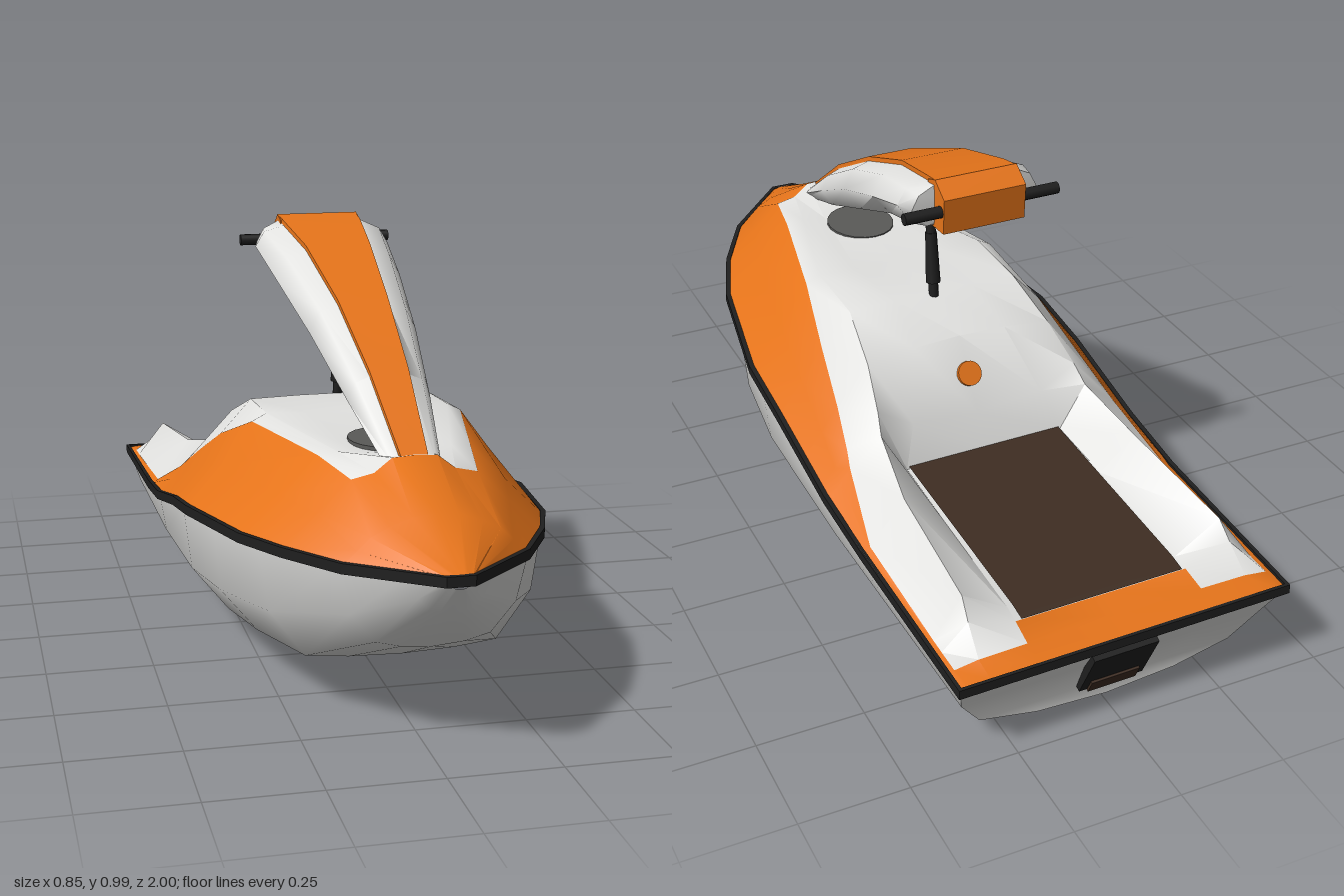
import * as THREE from 'three';
import { toCreasedNormals } from 'three/addons/utils/BufferGeometryUtils.js';

const mat = (name, color) => Object.assign(new THREE.MeshStandardMaterial({ color }), { name });
const orange = mat('orange', 0xe6741a);
const white = mat('white', 0xe2e2e0);
const red = mat('red', 0xb0211a);
const black = mat('black', 0x1f1f1f);
const brown = mat('brown', 0x3e2d22);
const grey = mat('grey', 0x5a5a58);

// Skin between rows of [x, y, z] points; pick(i, j) chooses the material index of a patch
function loft(name, rows, materials, pick = () => 0, crease = 0.7) {
  const n = rows[0].length;
  const lists = materials.map(() => []);
  for (let i = 0; i < rows.length - 1; i++) {
    for (let j = 0; j < n - 1; j++) {
      const a = i * n + j, b = a + 1, c = a + n, d = c + 1;
      lists[pick(i, j)].push(a, b, c, b, d, c);
    }
  }
  const geo = new THREE.BufferGeometry();
  geo.setAttribute('position', new THREE.Float32BufferAttribute(rows.flat(2), 3));
  geo.setIndex(lists.flat());
  let start = 0;
  lists.forEach((l, k) => { geo.addGroup(start, l.length, k); start += l.length; });
  const mesh = new THREE.Mesh(toCreasedNormals(geo, crease), materials);
  mesh.name = name;
  return mesh;
}

const flip = ([x, y, z]) => [-x, y, z];

function part(name, geo, material, x, y, z, rx = 0) {
  const mesh = new THREE.Mesh(geo, material);
  mesh.name = name;
  mesh.position.set(x, y, z);
  mesh.rotation.x = rx;
  return mesh;
}

// Rail line where hull and deck meet, bow to stern
const RAIL = [
  [0.03, 0.42, 0.99], [0.2, 0.408, 0.82], [0.29, 0.4, 0.66], [0.35, 0.388, 0.5], [0.41, 0.36, 0.17],
  [0.412, 0.33, -0.02], [0.41, 0.266, -0.3], [0.406, 0.24, -0.5], [0.402, 0.216, -0.99],
];

function railAt(z) {
  const i = Math.max(1, RAIL.findIndex((p) => p[2] <= z));
  const a = RAIL[i - 1], b = RAIL[i];
  const t = (a[2] - z) / (a[2] - b[2]);
  return [a[0] + (b[0] - a[0]) * t, a[1] + (b[1] - a[1]) * t, z];
}

// Deck stations: z, then x,y of colour edge, shoulder, inner edge, then centre y
const DECK = [
  [0.99, 0.025, 0.424, 0.015, 0.426, 0.008, 0.427, 0.427],
  [0.82, 0.14, 0.465, 0.1, 0.485, 0.05, 0.502, 0.508],
  [0.66, 0.14, 0.545, 0.09, 0.556, 0.05, 0.587, 0.59],
  [0.5, 0.175, 0.56, 0.13, 0.565, 0.07, 0.56, 0.56],
  [0.17, 0.255, 0.562, 0.22, 0.58, 0.12, 0.575, 0.575],
  [-0.02, 0.295, 0.49, 0.22, 0.572, 0.1, 0.575, 0.575],
  [-0.17, 0.32, 0.415, 0.24, 0.51, 0.12, 0.525, 0.53],
  [-0.27, 0.34, 0.36, 0.26, 0.44, 0.17, 0.385, 0.37],
  [-0.31, 0.35, 0.335, 0.27, 0.4, 0.205, 0.29, 0.29],
  [-0.5, 0.385, 0.25, 0.3, 0.355, 0.208, 0.277, 0.277],
  [-0.83, 0.386, 0.228, 0.32, 0.325, 0.21, 0.255, 0.255],
  [-0.87, 0.386, 0.226, 0.325, 0.285, 0.212, 0.248, 0.248],
  [-0.93, 0.386, 0.224, 0.33, 0.232, 0.215, 0.234, 0.234],
  [-0.99, 0.38, 0.22, 0.33, 0.222, 0.215, 0.222, 0.222],
];

function buildDeck() {
  const rows = DECK.map(([z, ex, ey, sx, sy, ix, iy, cy]) => {
    const rail = railAt(z);
    const flank = [rail[0] * 0.49 + ex * 0.5, (rail[1] + ey) * 0.503, z];
    const half = [rail, flank, [ex, ey, z], [sx, sy, z], [ix, iy, z]];
    return [...half.map(flip), [0, cy, z], ...half.reverse()];
  });
  const isWhite = (i, j) => i >= 2 && i < 12 && j >= 2 && j <= 7 && !(i === 11 && (j === 4 || j === 5));
  return loft('deck', rows, [orange, white], (i, j) => (isWhite(i, j) ? 1 : 0));
}

// Hull stations: z, then x,y of side, x,y of chine, keel y, and rake of the lower points
const HULL = [
  [0.99, 0.02, 0.41, 0.012, 0.402, 0.4],
  [0.93, 0.07, 0.365, 0.045, 0.34, 0.33],
  [0.81, 0.18, 0.3, 0.125, 0.235, 0.215],
  [0.57, 0.3, 0.235, 0.22, 0.125, 0.11],
  [0.33, 0.365, 0.21, 0.28, 0.105, 0.06],
  [0.1, 0.392, 0.19, 0.305, 0.08, 0.037],
  [-0.3, 0.393, 0.165, 0.31, 0.065, 0.025],
  [-0.99, 0.375, 0.13, 0.315, 0.045, 0.004, 0.08],
];

function buildHull(group) {
  const halves = HULL.map(([z, sx, sy, cx, cy, ky, rake = 0]) => [
    railAt(z), [sx, sy, z + rake * 0.6], [cx, cy, z + rake],
    [cx * 0.55, ky + (cy - ky) * 0.28, z + rake], [0, ky, z + rake],
  ]);
  const rows = halves.map((s) => [...s, ...s.slice(0, 4).reverse().map(flip)]);
  group.add(loft('hull', rows, [white, red], (i, j) => (i >= 3 && j >= 2 && j <= 5 ? 1 : 0), 1));

  // Sloping stern face
  const [rail, side, chine, belly, keel] = halves[halves.length - 1];
  const across = ([x, y, z]) => [-1, -0.55, 0, 0.55, 1].map((t) => [x * t, y, z]);
  const lower = [flip(chine), flip(belly), keel, belly, chine];
  group.add(loft('transom', [across(rail), across(side), across(chine), lower], [white]));
}

// Thin rubber bumper running round the joint of hull and deck
function buildBumper() {
  const side = RAIL.slice().reverse();
  const loop = [...side, ...RAIL.map(flip), side[0]];
  const rows = loop.map(([x, y, z]) => {
    const n = new THREE.Vector2(x, z * 0.4).normalize();
    const at = (d, h) => [x + n.x * d, y + h, z + n.y * d];
    const ring = [at(-0.006, 0.009), at(-0.006, -0.014), at(0.006, -0.014), at(0.006, 0.009)];
    return [...ring, ring[0]];
  });
  return loft('bumper', rows, [black], () => 0, 0.5);
}

// Steering pole stations: z, then x,y of strip edge, upper side, widest side, underside
const POLE = [
  [0.66, 0.03, 0.585, 0.048, 0.57, 0.06, 0.56, 0.05, 0.548],
  [0.45, 0.045, 0.73, 0.076, 0.705, 0.095, 0.665, 0.065, 0.618],
  [0.22, 0.06, 0.85, 0.102, 0.825, 0.127, 0.775, 0.085, 0.712],
  [-0.02, 0.08, 0.943, 0.128, 0.915, 0.155, 0.865, 0.11, 0.812],
  [-0.19, 0.098, 0.982, 0.148, 0.957, 0.17, 0.92, 0.135, 0.868],
  [-0.24, 0.1, 0.99, 0.14, 0.958, 0.157, 0.925, 0.12, 0.88],
];

function buildPole(group) {
  const rows = POLE.map(([z, tx, ty, ux, uy, ox, oy, bx, by]) => {
    const half = [[tx, ty, z], [tx, ty - 0.012, z], [ux, uy, z], [ox, oy, z], [bx, by, z]];
    const left = half.slice().reverse().map(flip);
    return [...left, ...half, left[0]];
  });
  // Closing cap at the upper end
  rows.push(rows[rows.length - 1].map(([x, y]) => [x * 0.02, 0.925 + (y - 0.925) * 0.02, -0.25]));
  group.add(loft('steeringPole', rows, [white, orange], (i, j) => (j >= 3 && j <= 5 ? 1 : 0), 1.2));

  // Faceted head holding the handlebar, profile drawn as (-z, y)
  const profile = [[0.205, 0.91], [0.225, 0.874], [0.288, 0.876], [0.292, 0.96], [0.245, 0.992], [0.21, 0.98]];
  const shape = new THREE.Shape(profile.map(([a, b]) => new THREE.Vector2(a, b)));
  const head = new THREE.ExtrudeGeometry(shape, { depth: 0.204, bevelEnabled: false });
  head.translate(0, 0, -0.102).rotateY(Math.PI / 2);
  group.add(part('handleHead', head, orange, 0, 0, 0));

  const bar = new THREE.CylinderGeometry(0.014, 0.014, 0.385, 10).rotateZ(Math.PI / 2);
  group.add(part('handlebar', bar, black, 0, 0.926, -0.274));
}

export function createModel() {
  const group = new THREE.Group();
  group.name = 'standUpWatercraft';
  const craft = new THREE.Group();
  craft.name = 'craft';
  craft.rotation.y = 0.02;
  craft.position.x = 0.005;
  group.add(craft);

  buildHull(craft);
  craft.add(buildDeck(), buildBumper());
  buildPole(craft);

  // Foot mat lying on the tray floor
  const matRows = [[-0.31, 0.297], [-0.5, 0.284], [-0.83, 0.262], [-0.875, 0.254]]
    .map(([z, y]) => [[-0.2, y, z], [0.2, y, z]]);
  craft.add(loft('footMat', matRows, [brown]));

  // Pole prop: slim rod in a thicker sleeve
  craft.add(part('propRod', new THREE.CylinderGeometry(0.012, 0.012, 0.27, 10), black, 0, 0.69, -0.015, 0.1));
  craft.add(part('propSleeve', new THREE.CylinderGeometry(0.014, 0.018, 0.13, 10), black, 0, 0.67, -0.017, 0.1));

  // Hood pad under the pole and round stop button
  const pad = new THREE.CylinderGeometry(0.085, 0.085, 0.009, 20).scale(1, 1, 1.15);
  craft.add(part('hoodPad', pad, grey, 0, 0.566, 0.42));
  craft.add(part('stopButton', new THREE.CylinderGeometry(0.03, 0.03, 0.016, 20), orange, 0, 0.452, -0.221, -1.01));

  // Jet outlet lying along the stern slope
  craft.add(part('jetOutlet', new THREE.BoxGeometry(0.16, 0.14, 0.03), black, 0, 0.118, -0.941, -0.43));
  craft.add(part('jetOutletLip', new THREE.BoxGeometry(0.12, 0.04, 0.03), brown, 0, 0.068, -0.924, -0.43));
  return group;
}
